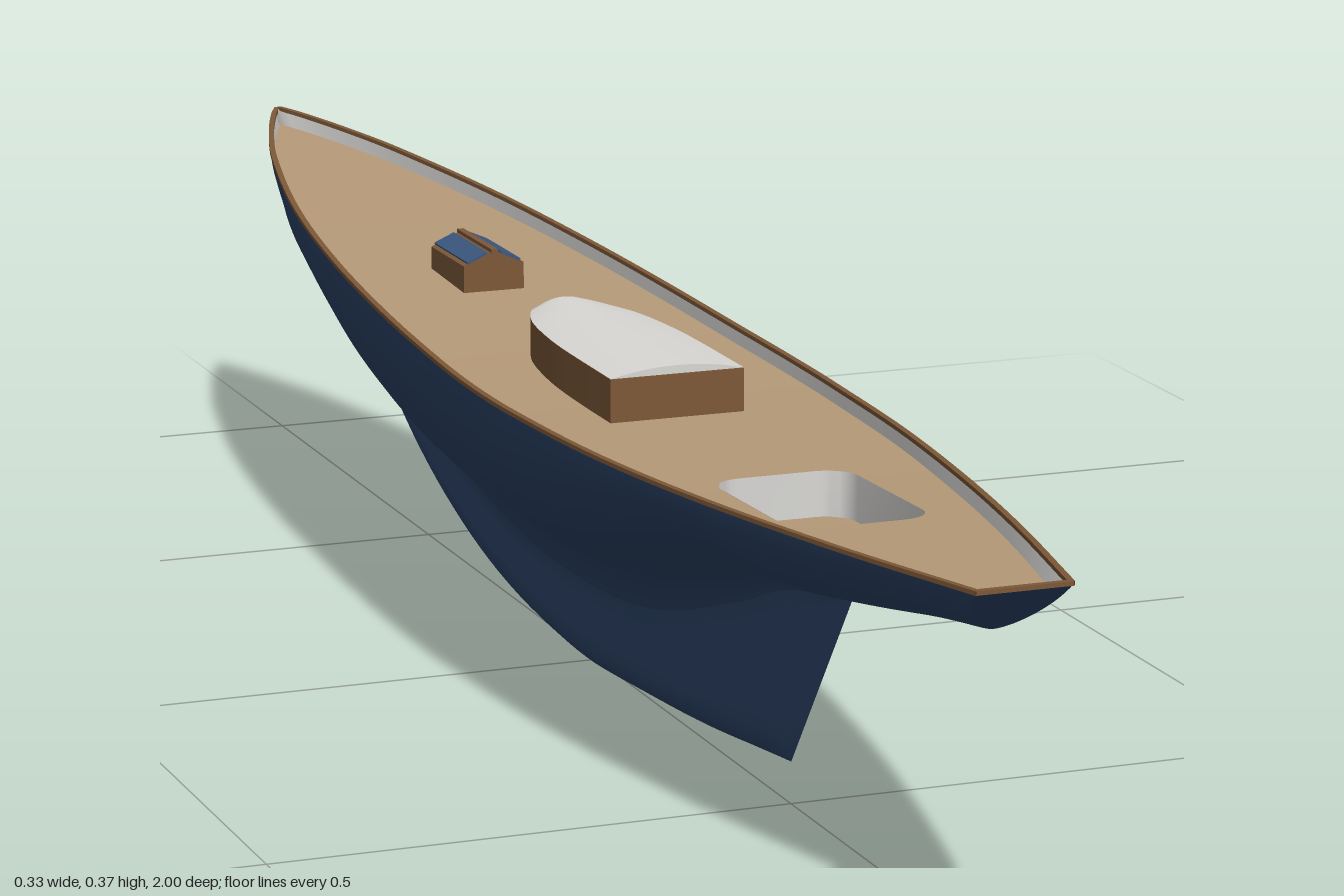
import * as THREE from 'three';
import { toCreasedNormals } from 'three/addons/utils/BufferGeometryUtils.js';

const mat = (name, color, side = THREE.DoubleSide) => {
  const m = new THREE.MeshStandardMaterial({ color, side });
  m.name = name;
  return m;
};

// Smooth curve through [position, value] pairs
function curve(pts) {
  const n = pts.length;
  const slope = pts.map((p, i) => {
    const a = pts[Math.max(0, i - 1)], b = pts[Math.min(n - 1, i + 1)];
    return (b[1] - a[1]) / (b[0] - a[0]);
  });
  return (x) => {
    x = Math.min(Math.max(x, pts[0][0]), pts[n - 1][0]);
    let i = 0;
    while (i < n - 2 && x > pts[i + 1][0]) i++;
    const h = pts[i + 1][0] - pts[i][0], t = (x - pts[i][0]) / h, t2 = t * t, t3 = t2 * t;
    return (2 * t3 - 3 * t2 + 1) * pts[i][1] + (t3 - 2 * t2 + t) * h * slope[i]
      + (3 * t2 - 2 * t3) * pts[i + 1][1] + (t3 - t2) * h * slope[i + 1];
  };
}

// Surface through rows of [x, y, z] points
function grid(rows) {
  const nc = rows[0].length, index = [];
  for (let r = 0; r < rows.length - 1; r++) {
    for (let c = 0; c < nc - 1; c++) {
      const a = r * nc + c, b = a + nc;
      index.push(a, b, a + 1, b, b + 1, a + 1);
    }
  }
  const g = new THREE.BufferGeometry();
  g.setAttribute('position', new THREE.Float32BufferAttribute(rows.flat(2), 3));
  g.setIndex(index);
  g.computeVertexNormals();
  return g;
}

// Hull lines along the length (bow at -z)
const sheer = curve([[-1, .363], [-.6, .339], [-.3, .324], [0, .313], [.2, .311], [.5, .316], [.8, .326], [1, .334]]);
const beam = curve([[-1, .003], [-.97, .017], [-.9, .042], [-.8, .071], [-.6, .112], [-.4, .138], [-.2, .154], [0, .163],
  [.1, .165], [.2, .163], [.4, .15], [.6, .124], [.8, .088], [1, .044]]);
const bowLine = curve([[-1, .347], [-.97, .333], [-.9, .301], [-.8, .263], [-.72, .235]]);
const sternLine = curve([[.64, .232], [.8, .257], [.9, .272], [1, .283]]);
const keelLine = curve([[-.72, .235], [-.65, .186], [-.6, .153], [-.5, .1], [-.4, .06], [-.3, .032], [-.2, .014],
  [-.1, .004], [0, 0], [.1, .004], [.3, .018], [.5, .04]]);
const bodyLine = curve([[-.72, .235], [-.6, .2], [-.4, .13], [-.2, .092], [0, .085], [.2, .105], [.4, .165], [.5, .202], [.64, .232]]);
const midSection = curve([[0, 0], [.066, .027], [.154, .1], [.24, .25], [.33, .456], [.42, .63], [.51, .76], [.6, .85],
  [.73, .93], [.86, .985], [1, 1]]);

const keelY = (s) => s < -.72 ? bowLine(s) : s > .64 ? sternLine(s)
  : s > .5 ? .04 + (s - .5) / .14 * .192 : keelLine(s);
const bodyY = (s) => s < -.72 || s > .64 ? keelY(s) : Math.max(keelY(s), bodyLine(s));

// Half thickness of the keel, tapering to the raked trailing edge
function keelX(s, y) {
  const edge = .5 + (y - .04) / .192 * .14;
  const taper = Math.min(1, Math.max(0, edge - s) / .45) ** .6;
  const q = Math.min(1, Math.max(0, y - keelY(s)) / .018);
  return .018 * taper * Math.sqrt(1 - (1 - q) ** 2);
}

// Point on the port side of the hull at station s and height y
function hullPoint(s, y, inset = 0) {
  const yc = bodyY(s), ys = sheer(s);
  let x;
  if (y <= yc) x = keelX(s, y);
  else {
    const u = Math.min(1, (y - yc) / (ys - yc)), k = keelX(s, yc);
    const a = THREE.MathUtils.smoothstep(yc - keelY(s), 0, .1);
    const round = (1 - (1 - u) ** 1.9) ** .6;
    x = k + (beam(s) - k) * (a * midSection(u) + (1 - a) * round);
  }
  const rake = Math.max(0, (s - .64) / .36) ** 2 * 1.2;
  return [Math.max(0, x - inset), y, s - rake * (ys - y)];
}

function halfSection(s) {
  const out = [], ys = sheer(s), yc = bodyY(s), yk = keelY(s);
  for (let i = 0; i <= 18; i++) out.push(hullPoint(s, yc + (1 - i / 18) ** 2 * (ys - yc)));
  for (let i = 1; i <= 10; i++) out.push(hullPoint(s, yk + (yc - yk) * (1 - i / 10) ** 2));
  return out;
}
const flip = ([x, y, z]) => [-x, y, z];

export function createModel() {
  const model = new THREE.Group();
  const navy = mat('hull navy', 0x2c4468), teak = mat('deck teak', 0xb59a78);
  const wood = mat('varnished wood', 0x7d5838), white = mat('off white', 0xd9d8d5);
  const glass = mat('skylight glass', 0x3c5880);
  const add = (name, geo, material, parent = model) => {
    const m = new THREE.Mesh(geo, material);
    m.name = name;
    parent.add(m);
    return m;
  };

  const stations = [-.985, .5, .64];
  for (let i = 0; i <= 80; i++) stations.push(-1 + i / 40);
  const st = [...new Set(stations)].sort((a, b) => a - b);

  // Hull and raked transom
  add('hull', grid(st.map((s) => {
    const h = halfSection(s);
    return [...h, ...h.slice(0, -1).reverse().map(flip)];
  })), navy);
  const end = halfSection(1);
  add('transom', grid([end.map(flip), end]), navy);

  // Bulwark lining and rail cap on both sides
  const drop = .016, deckY = (s) => sheer(s) - drop;
  for (const side of [1, -1]) {
    const lining = st.map((s) => [deckY(s), sheer(s)].map((y) => hullPoint(s, y, .003)));
    const rail = st.map((s) => {
      const y = sheer(s), o = beam(s) + .001, i = Math.max(0, o - .006);
      return [[o, y - .002, s], [o, y + .002, s], [i, y + .002, s], [i, y - .002, s], [o, y - .002, s]];
    });
    const mirror = (rows) => side > 0 ? rows : rows.map((r) => r.map(flip).reverse());
    add('bulwarkLining', grid(mirror(lining)), white);
    add('railCap', toCreasedNormals(grid(mirror(rail)), .6), wood);
  }
  const inner = [deckY(1), sheer(1)].map((y) => hullPoint(1, y)).map(([x, y, z]) => [x, y, z - .004]);
  add('transomLining', grid([inner.map(flip), inner]), white);
  add('transomRail', new THREE.BoxGeometry(.088, .004, .006), wood).position.set(0, sheer(1), .997);

  // Deck, open over the cockpit well
  const z0 = .46, z1 = .665, hw = .067, rad = .03, floorY = .256;
  const holeX = (z) => {
    const d = Math.min(rad, z - z0, z1 - z);
    return hw - rad + Math.sqrt(Math.max(0, rad * rad - (rad - d) ** 2));
  };
  const holeZ = [];
  for (let i = 0; i <= 6; i++) {
    const d = rad * (1 - Math.cos(i / 6 * Math.PI / 2));
    holeZ.push(z0 + d, z1 - d);
  }
  holeZ.sort((a, b) => a - b);
  const strip = [
    ...st.filter((s) => s < z0).map((s) => [s, 0]), [z0, 0],
    ...[...holeZ, ...st.filter((s) => s > z0 + rad && s < z1 - rad)].sort((a, b) => a - b).map((s) => [s, holeX(s)]),
    [z1, 0], ...st.filter((s) => s > z1).map((s) => [s, 0]),
  ];
  const half = strip.map(([s, x]) => {
    const p = hullPoint(s, deckY(s), .002);
    return [[Math.min(x, p[0]), p[1], p[2]], p];
  });
  add('deckLeft', grid(half), teak);
  add('deckRight', grid(half.map((r) => r.map(flip).reverse())), teak);

  // Cockpit well
  const rim = [...holeZ.map((z) => [holeX(z), z]), ...holeZ.slice().reverse().map((z) => [-holeX(z), z])];
  const loop = [...rim, rim[0]];
  add('cockpitWalls', toCreasedNormals(grid([
    loop.map(([x, z]) => [x, deckY(z), z]), loop.map(([x, z]) => [x, floorY, z])]), .6), white);
  const flat = (pts) => new THREE.Shape(pts.map(([x, z]) => new THREE.Vector2(x, -z)));
  add('cockpitFloor', new THREE.ShapeGeometry(flat(rim)).rotateX(-Math.PI / 2), teak).position.y = floorY;

  // Cabin trunk with rounded front and cambered roof
  const cabin = new THREE.Group();
  cabin.name = 'cabin';
  model.add(cabin);
  const cabinX = curve([[-.09, .028], [-.08, .037], [-.06, .046], [-.03, .055], [.02, .062], [.08, .066], [.215, .067]]);
  const cz = Array.from({ length: 25 }, (_, i) => -.09 + .305 * (i / 24) ** 1.5);
  const plan = [...cz.map((z) => [cabinX(z), z]), ...cz.slice().reverse().map((z) => [-cabinX(z), z])];
  const walls = new THREE.ExtrudeGeometry(flat(plan), { depth: .052, bevelEnabled: false }).rotateX(-Math.PI / 2);
  add('cabinWalls', toCreasedNormals(walls, .5), wood, cabin).position.y = .285;
  const roofRow = (z, camber) => Array.from({ length: 13 }, (_, i) => {
    const t = i / 6 - 1;
    return [t * cabinX(z), .3375 + camber * (1 - t * t), z];
  });
  add('cabinRoof', toCreasedNormals(grid([
    roofRow(-.09, 0), ...cz.map((z) => roofRow(z, .008)), roofRow(.215, 0)]), .6), white, cabin);

  // Gabled skylight
  const skylight = new THREE.Group();
  skylight.name = 'skylight';
  model.add(skylight);
  const gable = new THREE.Shape([[-.032, .3], [.032, .3], [.032, .335], [0, .349], [-.032, .335]]
    .map(([x, y]) => new THREE.Vector2(x, y)));
  add('skylightFrame', new THREE.ExtrudeGeometry(gable, { depth: .1, bevelEnabled: false }), wood, skylight)
    .position.z = -.393;
  const pitch = Math.atan2(.014, .032);
  for (const side of [1, -1]) {
    const pane = add('skylightPane', new THREE.BoxGeometry(.023, .003, .1), glass, skylight);
    pane.position.set(side * .0175, .3422, -.343);
    pane.rotation.z = -side * pitch;
  }
  add('skylightRidge', new THREE.BoxGeometry(.007, .004, .104), wood, skylight).position.set(0, .349, -.343);
  return model;
}
